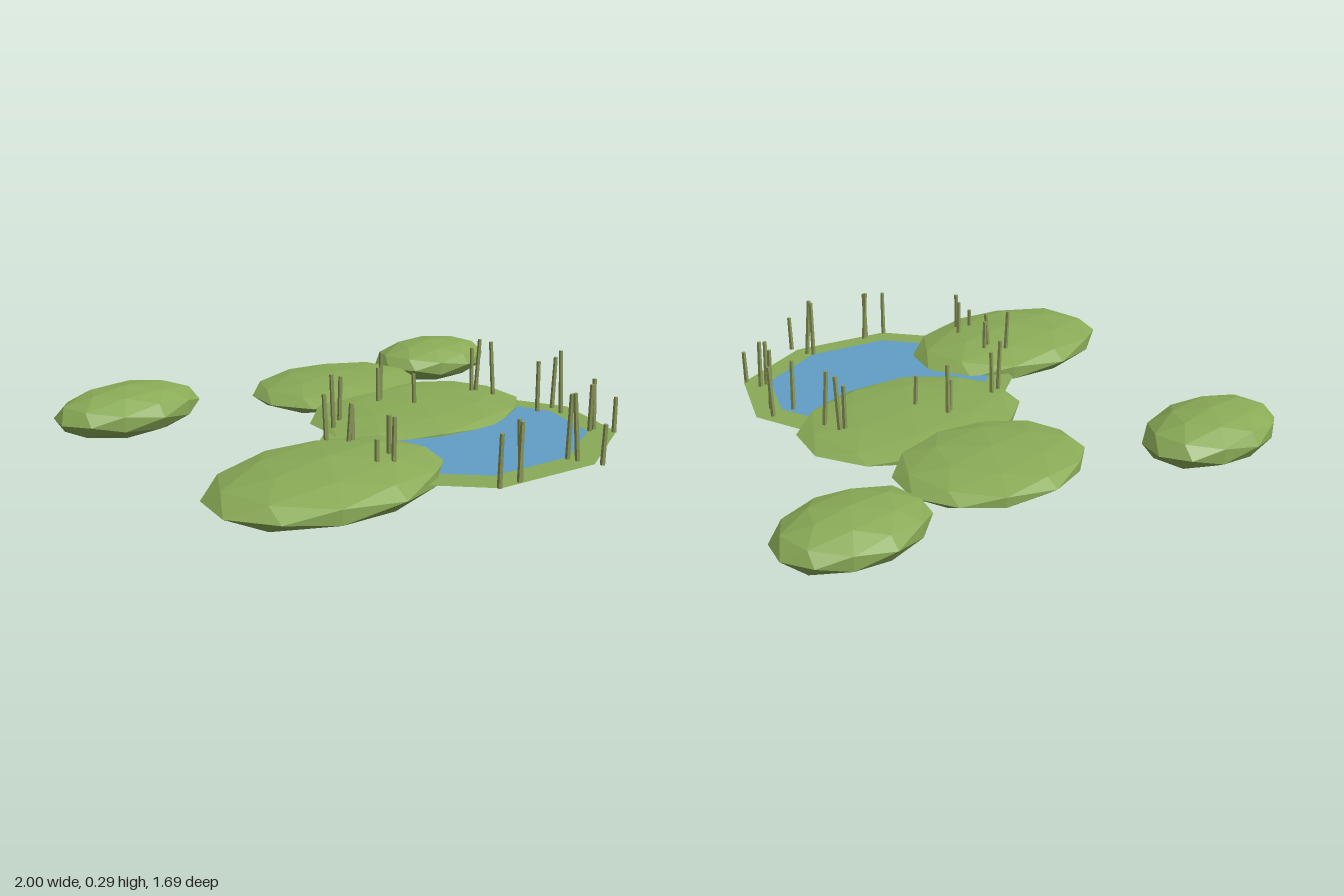
import * as THREE from 'three';

export function createModel() {
  const model = new THREE.Group();
  model.name = 'pondWithMounds';

  const material = (name, color, extra = {}) => {
    const m = new THREE.MeshStandardMaterial({ color, flatShading: true, ...extra });
    m.name = name;
    return m;
  };
  const grass = material('grass', 0x8aab57, { side: THREE.DoubleSide });
  const water = material('water', 0x629dc6);
  const reedGreen = material('reedGreen', 0x8b9a5b);

  const add = (name, geometry, mat, parent = model) => {
    const mesh = new THREE.Mesh(geometry, mat);
    mesh.name = name;
    parent.add(mesh);
    return mesh;
  };

  const GROUND = 0.08;

  // Flattened faceted mounds: centre x, z and radii x, y, z
  const mounds = [
    ['leftBankMound', -0.6, 0.318, 0.4, 0.07, 0.277],
    ['middleMound', 0.122, 0.075, 0.402, 0.035, 0.31],
    ['backMound', 0.187, -0.33, 0.325, 0.052, 0.26],
    ['farRightMound', 0.747, -0.34, 0.25, 0.072, 0.18],
    ['farBackMound', -0.46, -0.67, 0.27, 0.08, 0.177],
  ];
  for (const [name, x, z, rx, ry, rz] of mounds) {
    const mound = add(name, new THREE.IcosahedronGeometry(1, 1), grass);
    mound.scale.set(rx, ry, rz);
    mound.position.set(x, GROUND, z);
  }

  // Flat irregular octagon shore, with a smaller copy of it as the water
  const outline = [
    [-0.02, 0.815], [0.31, 0.703], [0.465, 0.435], [0.4, 0.13],
    [-0.02, -0.13], [-0.37, 0.075], [-0.5, 0.5], [-0.36, 0.725],
  ];
  const centre = [-0.02, 0.365];
  const sheet = (scale) => {
    const points = outline.map(([x, z]) => new THREE.Vector2(
      centre[0] + (x - centre[0]) * scale,
      -(centre[1] + (z - centre[1]) * scale)));
    return new THREE.ShapeGeometry(new THREE.Shape(points)).rotateX(-Math.PI / 2);
  };
  add('shore', sheet(1), grass).position.y = GROUND;
  add('waterSurface', sheet(0.81), water).position.y = GROUND + 0.004;

  // Reeds in clumps of about three around the water: x, z and top height
  const clumps = [
    [[-0.23, 0.02, 0.26], [-0.18, 0, 0.24]],
    [[0.04, -0.02, 0.22], [0.06, -0.03, 0.27], [0.09, 0.09, 0.21]],
    [[0.36, 0.125, 0.25], [0.375, 0.13, 0.28], [0.38, 0.2, 0.28]],
    [[0.345, 0.395, 0.25], [0.42, 0.405, 0.25], [0.385, 0.46, 0.285]],
    [[0.265, 0.635, 0.23], [0.29, 0.635, 0.24], [0.3, 0.7, 0.19]],
    [[-0.025, 0.73, 0.275], [-0.02, 0.76, 0.28], [-0.01, 0.835, 0.2]],
    [[-0.285, 0.735, 0.25], [-0.27, 0.73, 0.255], [-0.36, 0.72, 0.235]],
    [[-0.53, 0.435, 0.2], [-0.49, 0.46, 0.26], [-0.445, 0.41, 0.25]],
    [[-0.455, 0.19, 0.27], [-0.435, 0.25, 0.25], [-0.405, 0.245, 0.23]],
  ];
  let count = 0;
  clumps.forEach((clump, i) => {
    const group = new THREE.Group();
    group.name = `reedClump${i + 1}`;
    model.add(group);
    for (const [x, z, top] of clump) {
      const height = top - GROUND;
      const stem = new THREE.CylinderGeometry(0.007, 0.008, height, 5).translate(0, height / 2, 0);
      const reed = add('reed', stem, reedGreen, group);
      reed.position.set(x, GROUND, z);
      // Slight varied lean
      reed.rotation.set(0.05 * Math.sin(count * 2.4), 0, 0.05 * Math.cos(count * 1.7));
      count++;
    }
  });

  return model;
}
